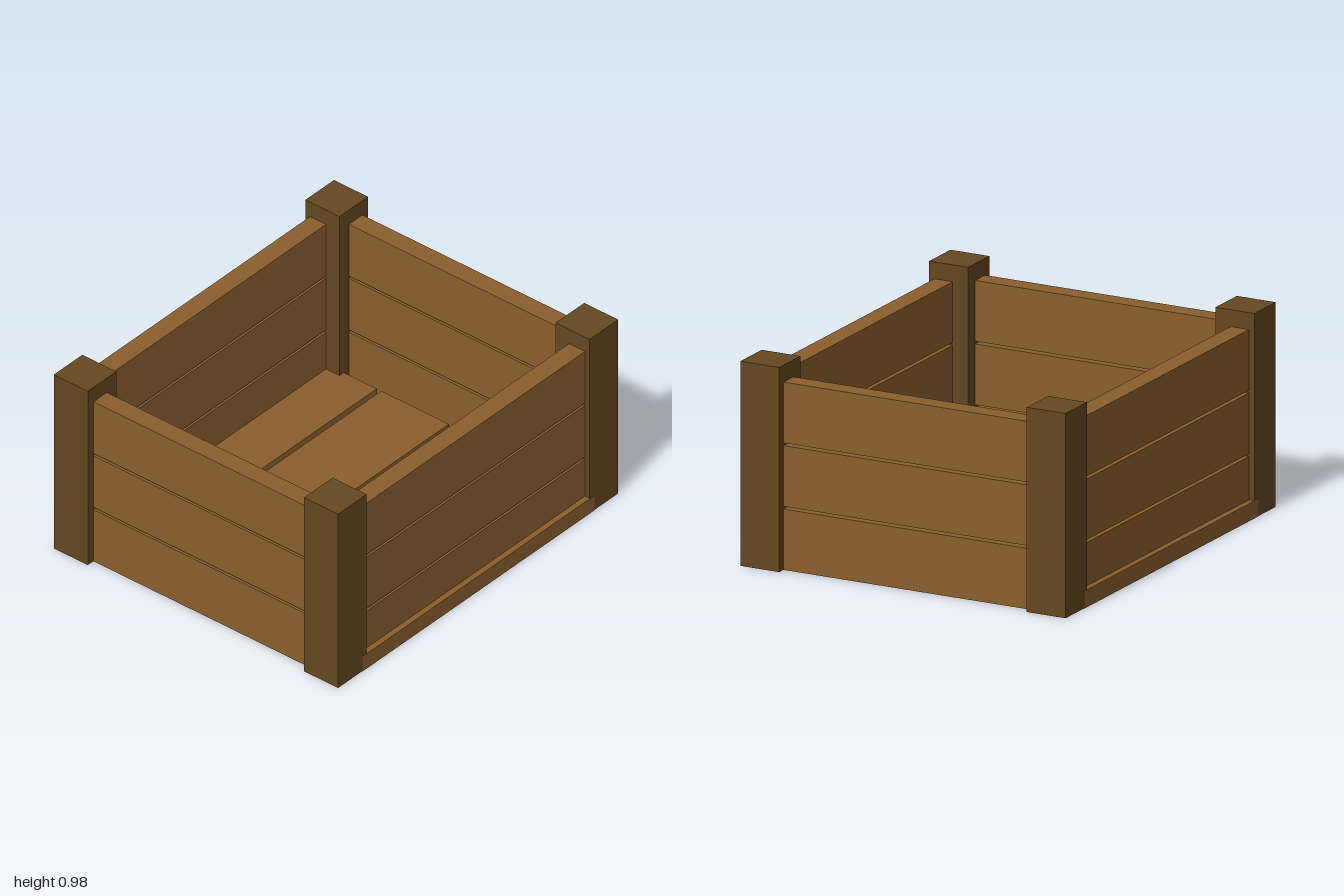
import * as THREE from 'three';

export function createModel() {
  const crate = new THREE.Group();
  crate.name = 'plankCrate';
  const plankWood = new THREE.MeshStandardMaterial({ color: 0x8b5f2d });
  plankWood.name = 'plankWood';
  const postWood = new THREE.MeshStandardMaterial({ color: 0x644820 });
  postWood.name = 'postWood';

  // Box given by its size, centre and underside height
  function addBox(name, material, [w, h, d], x, bottom, z) {
    const mesh = new THREE.Mesh(new THREE.BoxGeometry(w, h, d), material);
    mesh.name = name;
    mesh.position.set(x, bottom + h / 2, z);
    crate.add(mesh);
  }

  // Corner posts
  for (const sx of [-1, 1]) {
    for (const sz of [-1, 1]) {
      addBox('cornerPost', postWood, [0.204, 0.983, 0.204], sx * 0.898, 0, sz * 0.751);
    }
  }

  // Three stacked planks on each wall, ends let into the posts
  for (let row = 0; row < 3; row++) {
    const bottom = row * 0.305;
    for (const s of [-1, 1]) {
      addBox(s > 0 ? 'frontPlank' : 'backPlank', plankWood, [1.65, 0.292, 0.096], 0, bottom, s * 0.777);
      addBox(s > 0 ? 'leftPlank' : 'rightPlank', plankWood, [0.096, 0.292, 1.36], s * 0.912, bottom, 0);
    }
  }

  // Four floor slats, the outer two showing as ledges under the front and back walls
  for (let i = 0; i < 4; i++) {
    addBox('floorSlat', plankWood, [1.654, 0.084, 0.405], 0, 0, (i - 1.5) * 0.4355 * 0.9935 + Math.sign(i - 1.5) * 0.004);
  }

  return crate;
}
